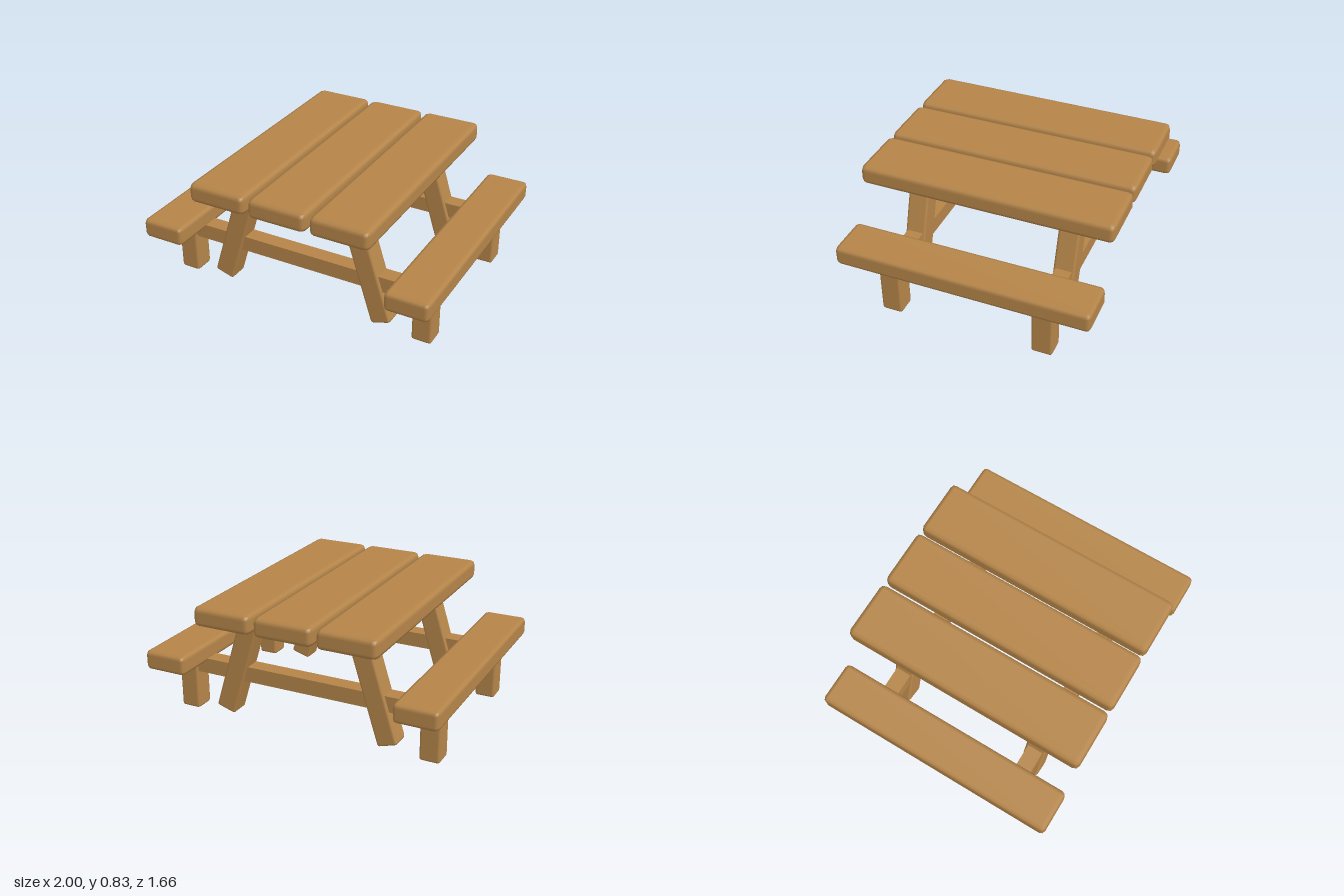
import * as THREE from 'three';
import { RoundedBoxGeometry } from 'three/addons/geometries/RoundedBoxGeometry.js';

export function createModel() {
  const group = new THREE.Group();
  const wood = new THREE.MeshStandardMaterial({ color: 0xb58549 });
  wood.name = 'wood';

  // Softly bevelled timber, centred at x, y, z and tilted about z
  function timber(name, [w, h, d], bevel, [x, y, z], tilt = 0) {
    const geometry = bevel
      ? new RoundedBoxGeometry(w, h, d, 1, bevel)
      : new THREE.BoxGeometry(w, h, d);
    const mesh = new THREE.Mesh(geometry, wood);
    mesh.name = name;
    mesh.position.set(x, y, z);
    mesh.rotation.z = tilt;
    group.add(mesh);
  }

  // Three table top planks
  for (const x of [-0.42, 0, 0.42]) {
    timber('topPlank', [0.393, 0.13, 1.66], 0.035, [x, 0.77, 0]);
  }

  for (const side of [-1, 1]) {
    // Bench seat on each side
    timber('benchSeat', [0.29, 0.13, 1.66], 0.03, [side * 0.855, 0.41, 0]);

    for (const end of [-1, 1]) {
      // Upright bench leg and splayed table leg
      timber('benchLeg', [0.135, 0.37, 0.14], 0.018, [side * 0.853, 0.185, end * 0.507]);
      timber('tableLeg', [0.139, 0.69, 0.14], 0.018, [side * 0.477, 0.37, end * 0.507], side * 0.3);
    }
  }

  // Cross beams joining the benches
  for (const end of [-1, 1]) {
    timber('crossBeam', [1.7, 0.103, 0.105], 0, [0, 0.318, end * 0.507]);
  }

  return group;
}
